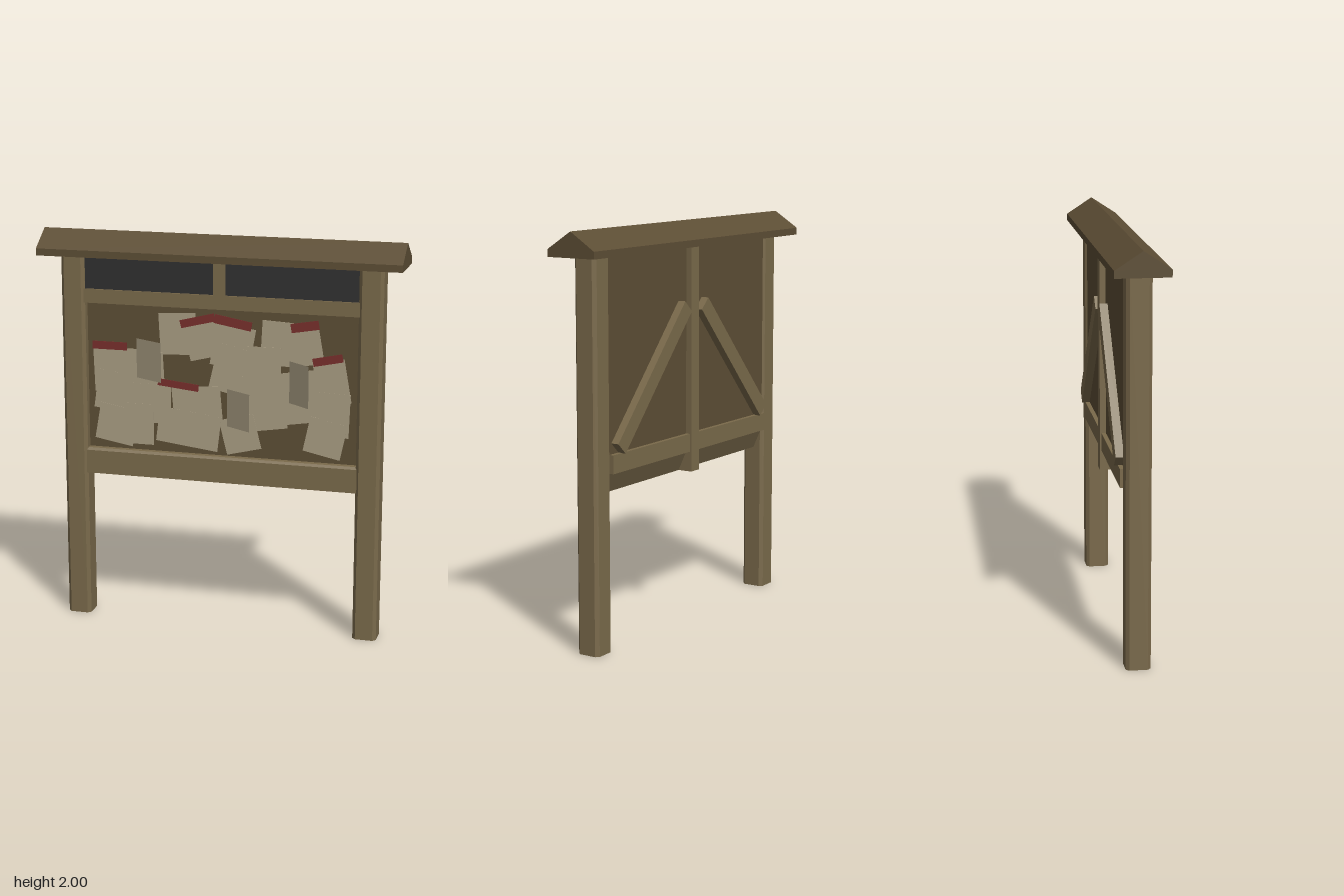
import * as THREE from 'three';

export function createModel() {
  const root = new THREE.Group();
  root.name = 'noticeBoard';
  const mat = (name, color, side = THREE.FrontSide) => {
    const m = new THREE.MeshStandardMaterial({ color, side });
    m.name = name;
    return m;
  };
  const wood = mat('wood', 0x7a6a4b);
  const darkWood = mat('dark wood', 0x5d4e35);
  const slate = mat('dark panel', 0x303030);
  const paper = mat('paper', 0xa99d83, THREE.DoubleSide);
  const red = mat('red header', 0x782f2c);

  const add = (name, geo, material, x = 0, y = 0, z = 0) => {
    const m = new THREE.Mesh(geo, material);
    m.name = name;
    m.position.set(x, y, z);
    root.add(m);
    return m;
  };
  // Box given by its limits on each axis
  const box = (name, material, x0, x1, y0, y1, z0, z1) =>
    add(name, new THREE.BoxGeometry(x1 - x0, y1 - y0, z1 - z0), material,
      (x0 + x1) / 2, (y0 + y1) / 2, (z0 + z1) / 2);
  const prism = (points, depth) => new THREE.ExtrudeGeometry(
    new THREE.Shape(points.map(p => new THREE.Vector2(...p))), { depth, bevelEnabled: false });
  // Prism running along x, with its profile given as [z, y]
  const beam = (name, material, points, halfLength) => {
    const geo = prism(points.map(([z, y]) => [-z, y]), 2 * halfLength);
    geo.rotateY(Math.PI / 2);
    return add(name, geo, material, -halfLength);
  };

  // Posts with chamfered edges
  const a = 0.06, c = 0.044;
  const octagon = [[a, -c], [a, c], [c, a], [-c, a], [-a, c], [-a, -c], [-c, -a], [c, -a]];
  for (const s of [-1, 1]) {
    const geo = prism(octagon, 1.89);
    geo.rotateX(-Math.PI / 2);
    add(s > 0 ? 'leftPost' : 'rightPost', geo, wood, s * 0.75);
  }

  // Gabled roof
  beam('roof', darkWood, [[-0.13, 1.88], [0.13, 1.88], [0.13, 1.915], [0, 2], [-0.13, 1.915]], 0.91);

  // Backing board, rails and upper panels
  box('board', darkWood, -0.7, 0.7, 0.86, 1.88, -0.05, 0.01);
  beam('lowerRail', wood, [[0.05, 0.76], [0.05, 0.88], [0.04, 0.892], [0, 0.892], [-0.05, 0.86], [-0.005, 0.76]], 0.7);
  box('upperRail', wood, -0.7, 0.7, 1.64, 1.71, 0, 0.05);
  box('upperDivider', wood, -0.03, 0.03, 1.71, 1.88, 0, 0.05);
  for (const s of [-1, 1]) box('upperPanel', slate, s * 0.36 - 0.34, s * 0.36 + 0.34, 1.71, 1.88, 0.01, 0.04);

  // Bracing on the back
  box('backStrip', wood, -0.035, 0.035, 0.76, 1.88, -0.08, -0.005);
  box('backRail', wood, -0.69, 0.69, 0.86, 0.95, -0.072, -0.045);
  for (const s of [-1, 1]) {
    const dx = 0.57, dy = 0.615;
    const brace = add('diagonalBrace', new THREE.BoxGeometry(Math.hypot(dx, dy), 0.08, 0.045), wood,
      s * 0.36, 0.975 + dy / 2, -0.0675);
    brace.rotation.z = -s * Math.atan2(dy, dx);
  }

  // Pinned sheets: x, y, width, height, turn in degrees
  const sheets = [
    [-0.22, 1.5, 0.19, 0.21, 3], [-0.09, 1.48, 0.18, 0.19, 14], [0.06, 1.45, 0.2, 0.22, -10],
    [0.07, 1.33, 0.22, 0.24, -13], [0.3, 1.48, 0.19, 0.22, -3], [0.43, 1.48, 0.15, 0.2, 10],
    [0.22, 1.18, 0.2, 0.28, 9], [0.42, 1.22, 0.24, 0.26, 9], [0.22, 1.36, 0.17, 0.2, 0],
    [0.56, 1.3, 0.16, 0.22, 10], [0.57, 1.14, 0.16, 0.22, -2], [0.53, 1.02, 0.19, 0.18, -12],
    [0.1, 1.01, 0.18, 0.18, 14], [-0.12, 1.14, 0.25, 0.2, 5], [-0.165, 1.02, 0.32, 0.18, -7],
    [-0.54, 1.3, 0.23, 0.22, 2], [-0.55, 1.19, 0.19, 0.2, -8], [-0.39, 1.28, 0.2, 0.24, 3],
    [-0.37, 1.14, 0.23, 0.2, 0], [-0.54, 1.02, 0.2, 0.19, -10], [-0.42, 1.03, 0.15, 0.21, 0],
  ];
  const headers = [
    [-0.115, 1.575, 0.18, 0.04, 14], [0.065, 1.575, 0.19, 0.045, -10], [0.425, 1.575, 0.14, 0.045, 10],
    [0.54, 1.415, 0.15, 0.04, 12], [-0.57, 1.425, 0.18, 0.04, 0], [-0.215, 1.245, 0.21, 0.035, -6],
  ];
  const pin = (name, material, z) => ([x, y, w, h, turn], i) => {
    const m = add(name, new THREE.BoxGeometry(w, h, 0.003), material, x, y, z + i * 0.0007);
    m.rotation.z = THREE.MathUtils.degToRad(turn);
  };
  sheets.forEach(pin('sheet', paper, 0.013));
  headers.forEach(pin('sheetHeader', red, 0.029));

  // Loose sheets swinging out from the board: x0, x1, y0, y1, outer z
  const loose = [[-0.43, -0.28, 1.27, 1.47, 0.11], [0.35, 0.465, 1.19, 1.4, 0.12], [0.035, 0.17, 1.05, 1.24, 0.115]];
  for (const [x0, x1, y0, y1, z] of loose) {
    const dz = z - 0.03;
    const m = add('looseSheet', new THREE.PlaneGeometry(Math.hypot(x1 - x0, dz), y1 - y0), paper,
      (x0 + x1) / 2, (y0 + y1) / 2, 0.03 + dz / 2);
    m.rotation.y = -Math.atan2(dz, x1 - x0);
  }
  return root;
}
